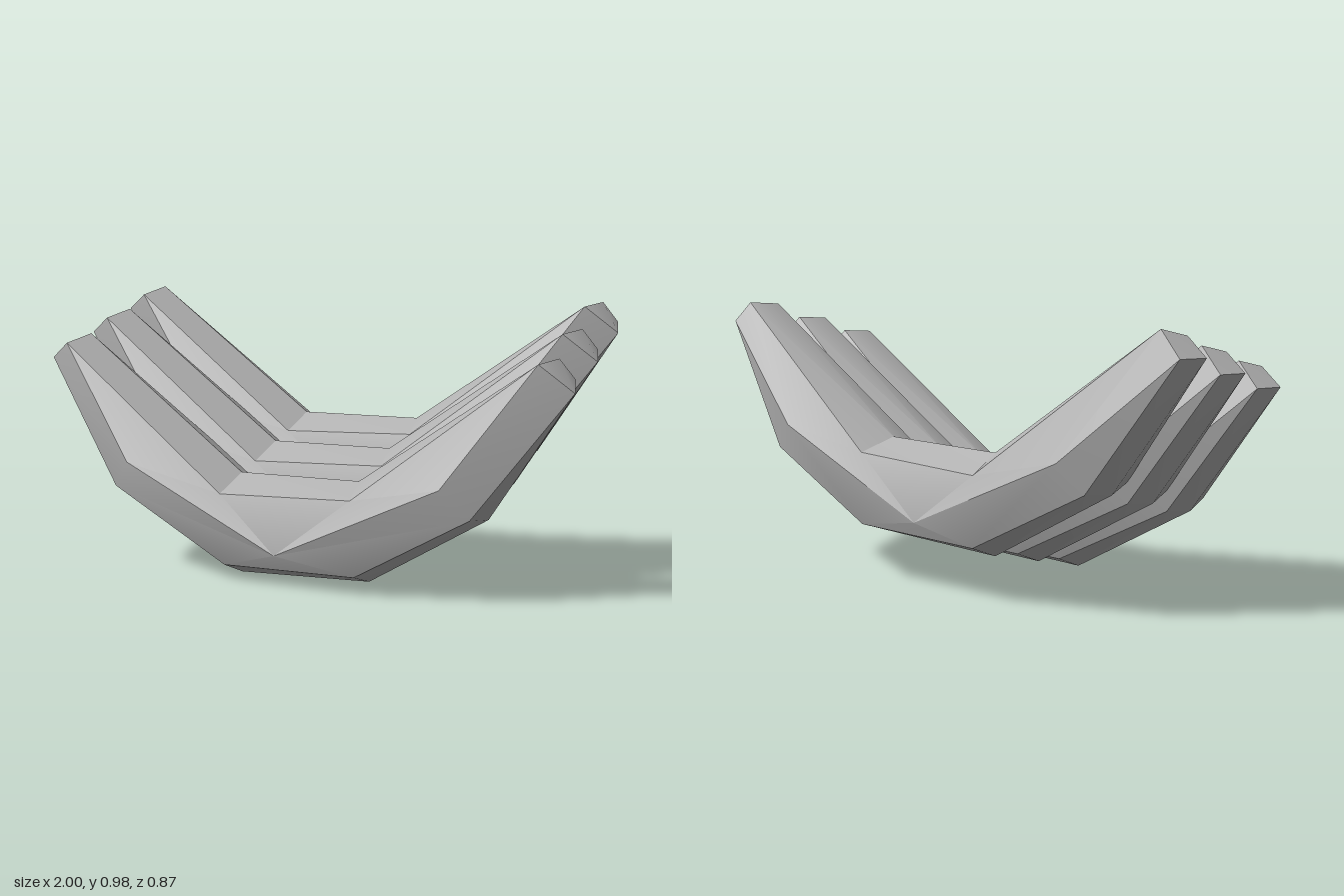
import * as THREE from 'three';
import { toCreasedNormals } from 'three/addons/utils/BufferGeometryUtils.js';

// Four corners of each cut tip: top, front, bottom, back
const RIGHT_TIP = [[0.925, 0.82, -0.037], [0.89, 0.81, 0.075], [1, 0.72, 0.037], [0.97, 0.75, -0.075]];
const LEFT_TIP = [[-0.88, 0.833, -0.037], [-0.91, 0.805, 0.075], [-1, 0.745, 0.037], [-0.97, 0.75, -0.075]];

// Lengthwise ridges from right to left as [x, y] points; the z offset is per ridge
const TOP = [[0.24, 0.37], [0.24, 0.37], [-0.22, 0.365], [-0.22, 0.365]];
const UPPER = [[0.27, 0.33], [0.27, 0.33], [-0.23, 0.31], [-0.23, 0.31]];
const MIDDLE = [[0.6, 0.4], [0, 0.12], [0, 0.12], [-0.59, 0.4]];
const LOWER = [[0.69, 0.3], [0.28, 0.065], [-0.22, 0.055], [-0.67, 0.3]];
const BOTTOM = [[0.71, 0.28], [0.28, 0.02], [-0.22, 0], [-0.69, 0.28]];

// Ridges in order around the section: points, z offset, tip corner they run into
const RIDGES = [
  [TOP, 0, 0],
  [UPPER, 0.14, 1],
  [MIDDLE, 0.175, 1],
  [LOWER, 0.13, 2],
  [BOTTOM, 0, 2],
  [LOWER, -0.13, 3],
  [MIDDLE, -0.175, 3],
  [UPPER, -0.14, 0],
];

function crescentGeometry() {
  const lines = RIDGES.map(([points, z, corner]) => [
    RIGHT_TIP[corner],
    ...points.map(([x, y]) => [x, y, z]),
    LEFT_TIP[corner],
  ]);
  const positions = [];
  const same = (p, q) => p.every((v, k) => v === q[k]);
  const triangle = (a, b, c) => {
    if (same(a, b) || same(b, c) || same(a, c)) return;
    positions.push(...a, ...b, ...c);
  };

  // Skin between neighbouring ridges, with diagonals mirrored about the middle
  lines.forEach((line, j) => {
    const next = lines[(j + 1) % lines.length];
    for (let i = 0; i < line.length - 1; i++) {
      const a = line[i], b = line[i + 1], c = next[i + 1], d = next[i];
      if (i < 3) {
        triangle(a, b, d);
        triangle(b, c, d);
      } else {
        triangle(a, b, c);
        triangle(a, c, d);
      }
    }
  });

  // Flat cut tips
  const [r0, r1, r2, r3] = RIGHT_TIP;
  triangle(r0, r1, r2);
  triangle(r0, r2, r3);
  const [l0, l1, l2, l3] = LEFT_TIP;
  triangle(l0, l2, l1);
  triangle(l0, l3, l2);

  const geometry = new THREE.BufferGeometry();
  geometry.setAttribute('position', new THREE.Float32BufferAttribute(positions, 3));
  return toCreasedNormals(geometry, 0.5);
}

export function createModel() {
  const group = new THREE.Group();
  group.name = 'crescentBunch';
  const material = new THREE.MeshStandardMaterial({ color: 0xb4b4b4 });
  material.name = 'plain grey';
  const geometry = crescentGeometry();

  // Three equal crescents stepping up towards the back
  ['frontCrescent', 'middleCrescent', 'backCrescent'].forEach((name, i) => {
    const crescent = new THREE.Mesh(geometry, material);
    crescent.name = name;
    crescent.position.set(0, 0.075 * i, 0.26 - 0.26 * i);
    group.add(crescent);
  });
  return group;
}
